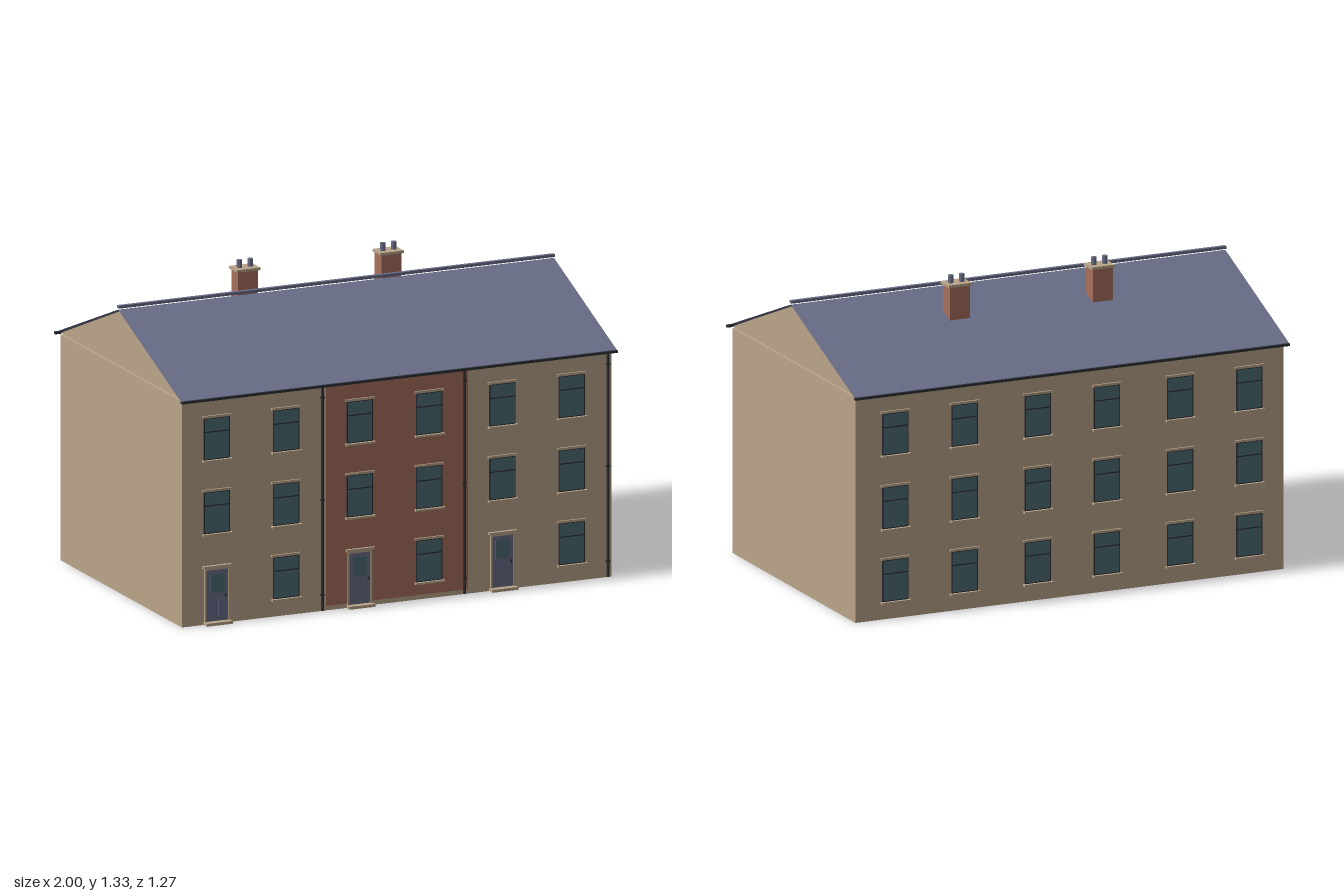
import * as THREE from 'three';

export function createModel() {
  const group = new THREE.Group();
  const mat = (name, color) => {
    const m = new THREE.MeshStandardMaterial({ color });
    m.name = name;
    return m;
  };
  const stone = mat('sandstone', 0xb9a488);
  const brick = mat('red brick', 0xa86f5c);
  const slate = mat('slate blue', 0x696e88);
  const glass = mat('window glass', 0x4d6d76);
  const dark = mat('dark iron', 0x2c2f35);
  slate.side = THREE.DoubleSide;
  stone.side = THREE.DoubleSide;

  const add = (parent, name, geometry, material, x, y, z) => {
    const mesh = new THREE.Mesh(geometry, material);
    mesh.name = name;
    mesh.position.set(x, y, z);
    parent.add(mesh);
    return mesh;
  };
  const box = (parent, name, m, w, h, d, x, y, z) =>
    add(parent, name, new THREE.BoxGeometry(w, h, d), m, x, y, z);
  const subgroup = (name, x, y, z) => {
    const g = new THREE.Group();
    g.name = name;
    g.position.set(x, y, z);
    group.add(g);
    return g;
  };

  // Walls, with a brick face on the middle house
  box(group, 'walls', stone, 1.97, 0.972, 1.2, 0, 0.486, 0);
  box(group, 'brickFacade', brick, 0.652, 0.952, 0.004, 0, 0.496, 0.601);

  // Gable triangles at both ends
  const gable = new THREE.Shape([
    new THREE.Vector2(-0.6, 0.98), new THREE.Vector2(0.6, 0.98), new THREE.Vector2(0, 1.22),
  ]);
  for (const s of [-1, 1]) {
    const end = add(group, 'gable', new THREE.ShapeGeometry(gable), stone, s * 0.985, 0, 0);
    end.rotation.y = s * Math.PI / 2;
  }

  // Roof slopes: thin sheets reaching from ridge to eaves, with gutters
  const run = 0.63, ridgeY = 1.226, eaveY = 0.977;
  const rise = ridgeY - eaveY;
  for (const s of [-1, 1]) {
    const sheet = new THREE.PlaneGeometry(2, Math.hypot(run, rise));
    sheet.rotateX(-Math.PI / 2 + Math.atan2(rise, run));
    const slope = add(group, 'roofSlope', sheet, slate, 0, (ridgeY + eaveY) / 2, s * run / 2);
    if (s < 0) slope.rotation.y = Math.PI;
    box(group, 'gutter', dark, 2, 0.01, 0.014, 0, 0.975, s * 0.627);
  }
  box(group, 'ridgeCap', slate, 2, 0.012, 0.018, 0, 1.238, 0);

  // Sash window facing +z, centred on its glass
  const addWindow = (x, y, z, back) => {
    const w = subgroup('window', x, y, z);
    if (back) w.rotation.y = Math.PI;
    box(w, 'glass', glass, 0.112, 0.172, 0.003, 0, 0, 0.003);
    for (const s of [-1, 1]) {
      box(w, 'frameSide', dark, 0.004, 0.18, 0.004, s * 0.058, 0, 0.003);
      box(w, 'frameRail', dark, 0.12, 0.004, 0.004, 0, s * 0.088, 0.003);
    }
    box(w, 'sashBar', dark, 0.112, 0.005, 0.005, 0, 0.03, 0.003);
    box(w, 'sill', stone, 0.134, 0.008, 0.018, 0, -0.094, 0.009);
    box(w, 'lintel', stone, 0.134, 0.01, 0.008, 0, 0.095, 0.004);
  };

  // Panelled door with glazed upper half, canopy and step
  const addDoor = (x) => {
    const d = subgroup('door', x, 0, 0.601);
    box(d, 'doorLeaf', slate, 0.1, 0.222, 0.004, 0, 0.124, 0.003);
    box(d, 'doorGlass', glass, 0.064, 0.082, 0.003, 0, 0.176, 0.005);
    for (const s of [-1, 1]) {
      box(d, 'doorJamb', stone, 0.007, 0.23, 0.01, s * 0.053, 0.125, 0.004);
      box(d, 'doorPanel', slate, 0.03, 0.08, 0.003, s * 0.02, 0.07, 0.005);
    }
    box(d, 'doorHandle', dark, 0.006, 0.012, 0.008, 0.037, 0.122, 0.008);
    box(d, 'doorHead', stone, 0.112, 0.008, 0.01, 0, 0.238, 0.004);
    box(d, 'canopy', stone, 0.13, 0.01, 0.016, 0, 0.248, 0.007);
    box(d, 'doorstep', stone, 0.12, 0.012, 0.032, 0, 0.006, 0.016);
  };

  // Three houses with two bays each, three floors high
  const floors = [0.166, 0.481, 0.799];
  for (let house = -1; house <= 1; house++) {
    for (const side of [-1, 1]) {
      const x = house * 0.655 - 0.012 + side * 0.159;
      floors.forEach((y, floor) => {
        if (floor === 0 && side < 0) addDoor(x);
        else addWindow(x, y, house === 0 ? 0.602 : 0.6, false);
        addWindow(x, y, -0.6, true);
      });
    }
  }

  // Drainpipes with brackets between the houses and at the end
  for (const x of [-0.342, 0.309, 0.967]) {
    add(group, 'drainpipe', new THREE.CylinderGeometry(0.006, 0.006, 0.97, 10), dark, x, 0.487, 0.605);
    for (const y of [0.07, 0.48, 0.92])
      box(group, 'pipeBracket', dark, 0.018, 0.006, 0.012, x, y, 0.604);
  }

  // Chimneys on the rear slope
  for (const x of [-0.332, 0.326]) {
    const c = subgroup('chimney', x, 0, -0.187);
    box(c, 'stack', brick, 0.092, 0.17, 0.068, 0, 1.197, 0);
    box(c, 'chimneyCap', stone, 0.107, 0.011, 0.08, 0, 1.286, 0);
    for (const s of [-1, 1])
      add(c, 'chimneyPot', new THREE.CylinderGeometry(0.012, 0.012, 0.034, 12), slate, s * 0.025, 1.308, 0);
  }

  return group;
}
